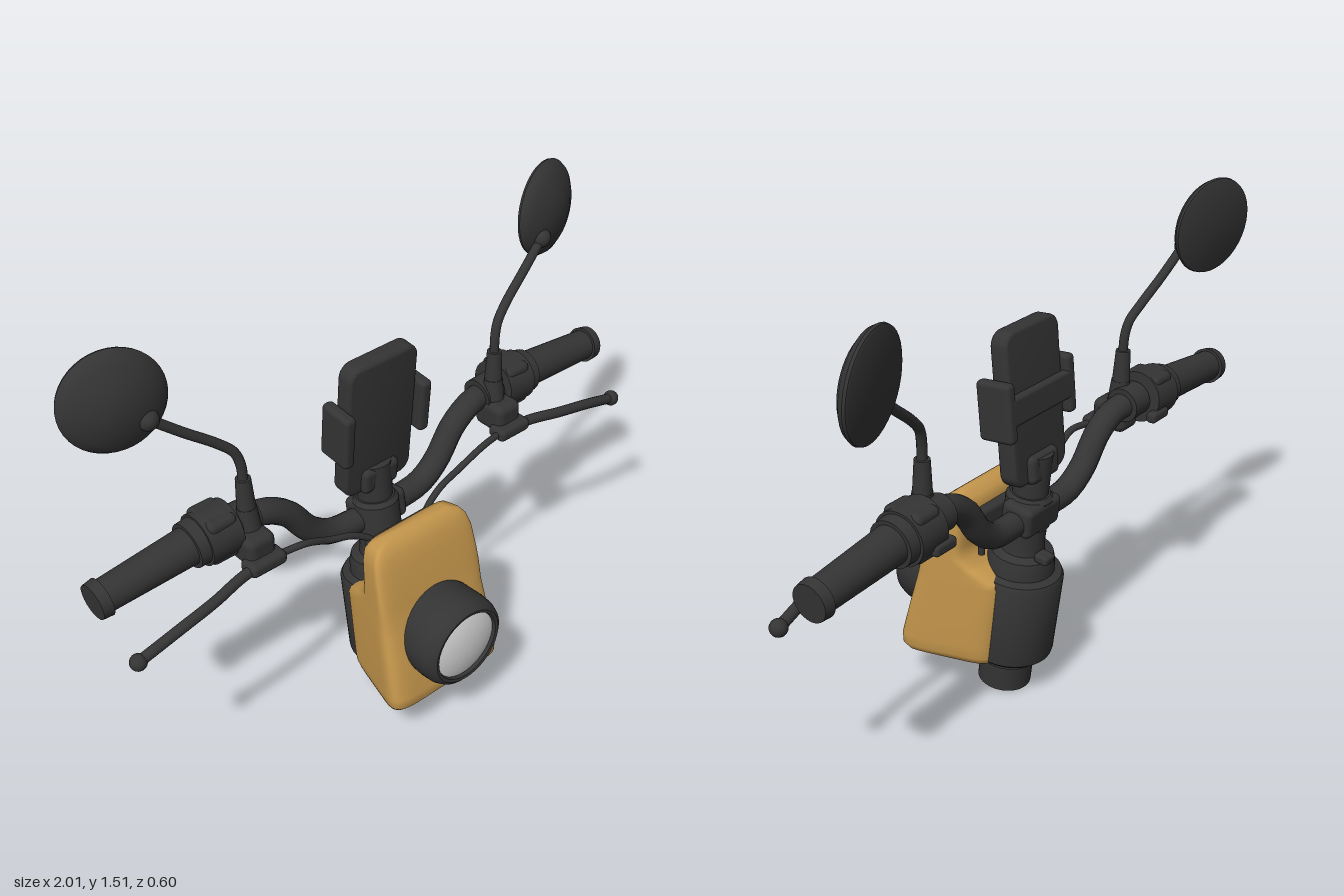
import * as THREE from 'three';
import { toCreasedNormals } from 'three/addons/utils/BufferGeometryUtils.js';
import { RoundedBoxGeometry } from 'three/addons/geometries/RoundedBoxGeometry.js';

const mat = (name, color) => Object.assign(new THREE.MeshStandardMaterial({ color }), { name });
const V = (x, y, z) => new THREE.Vector3(x, y, z);
const UP = V(0, 1, 0);

export function createModel() {
  const black = mat('satin black', 0x343434);
  const ochre = mat('ochre paint', 0xc4964c);
  const glass = mat('pale lens', 0xd8d8d8);
  const root = new THREE.Group();
  root.name = 'handlebarAssembly';

  const add = (name, geo, m = black, parent = root) => {
    const mesh = new THREE.Mesh(geo, m);
    mesh.name = name;
    parent.add(mesh);
    return mesh;
  };
  const lathe = (pts, seg = 40) =>
    toCreasedNormals(new THREE.LatheGeometry(pts.map(p => new THREE.Vector2(...p)), seg), 0.6);
  // Straight rod between two points
  const rod = (name, a, b, r1, r2, parent) => {
    const mesh = add(name, new THREE.CylinderGeometry(r2, r1, a.distanceTo(b), 28), black, parent);
    mesh.position.copy(a).lerp(b, 0.5);
    mesh.quaternion.setFromUnitVectors(UP, b.clone().sub(a).normalize());
    return mesh;
  };
  const tube = (name, pts, r, parent, m = black) =>
    add(name, new THREE.TubeGeometry(new THREE.CatmullRomCurve3(pts), 48, r, 14), m, parent);
  const box = (name, size, pos, r, parent) => {
    const mesh = add(name, new RoundedBoxGeometry(...size, 3, r), black, parent);
    mesh.position.set(...pos);
    return mesh;
  };
  const ball = (name, r, pos, parent) => {
    const mesh = add(name, new THREE.SphereGeometry(r, 20, 14), black, parent);
    mesh.position.set(...pos);
    return mesh;
  };

  // Headlight cowl: rounded trapezoid sections [y, frontZ, backZ, frontHalfWidth, backHalfWidth]
  const sections = [
    [0.13, 0.17, -0.08, 0.20, 0.13], [0.137, 0.20, -0.095, 0.223, 0.145],
    [0.155, 0.214, -0.10, 0.234, 0.15], [0.19, 0.213, -0.103, 0.237, 0.152],
    [0.30, 0.185, -0.117, 0.23, 0.15], [0.41, 0.155, -0.13, 0.222, 0.148],
    [0.43, 0.15, -0.12, 0.22, 0.15], [0.465, 0.14, -0.06, 0.217, 0.165],
    [0.495, 0.132, -0.012, 0.213, 0.178], [0.54, 0.122, -0.01, 0.21, 0.178],
    [0.62, 0.10, -0.018, 0.204, 0.172], [0.66, 0.085, -0.018, 0.192, 0.165],
    [0.685, 0.07, -0.005, 0.172, 0.15], [0.70, 0.05, 0.02, 0.13, 0.12],
  ];
  const N = 64, pos = [], idx = [];
  const power = t => Math.sign(t) * Math.abs(t) ** 0.3;
  for (const [y, zf, zb, wf, wb] of sections) {
    for (let i = 0; i < N; i++) {
      const a = (i / N) * Math.PI * 2, u = power(Math.cos(a)), v = power(Math.sin(a));
      pos.push(u * (wb + (wf - wb) * (v + 1) / 2), y, (zf + zb) / 2 + v * (zf - zb) / 2);
    }
  }
  const last = sections.length - 1;
  for (let j = 0; j < last; j++) {
    for (let i = 0; i < N; i++) {
      const a = j * N + i, b = j * N + (i + 1) % N;
      idx.push(a, a + N, b, b, a + N, b + N);
    }
  }
  pos.push(0, 0.13, 0.05, 0, 0.702, 0.035);
  for (let i = 0; i < N; i++) {
    const k = (i + 1) % N;
    idx.push((last + 1) * N, i, k, (last + 1) * N + 1, last * N + k, last * N + i);
  }
  const cowlGeo = new THREE.BufferGeometry();
  cowlGeo.setAttribute('position', new THREE.Float32BufferAttribute(pos, 3));
  cowlGeo.setIndex(idx);
  cowlGeo.computeVertexNormals();
  add('headlightCowl', cowlGeo, ochre).position.x = -0.011;
  box('cowlBracket', [0.26, 0.1, 0.05], [-0.011, 0.6, -0.025], 0.015);

  // Headlight
  const lamp = new THREE.Group();
  lamp.name = 'headlight';
  lamp.position.set(-0.012, 0.357, 0.185);
  lamp.rotation.x = Math.PI / 2;
  root.add(lamp);
  add('headlightShell', lathe([[0, -0.1], [0.14, -0.1], [0.152, -0.04], [0.155, 0.03], [0.152, 0.07],
    [0.143, 0.092], [0.13, 0.102], [0.12, 0.1], [0.116, 0.085], [0, 0.085]], 48), black, lamp);
  add('headlightLens', lathe([[0.118, 0.088], [0.09, 0.097], [0.05, 0.104], [0, 0.107]], 48), glass, lamp);

  // Raked steering column and rear housing
  const column = new THREE.Group();
  column.name = 'steeringColumn';
  column.position.set(-0.014, 0, -0.045);
  column.rotation.x = -0.135;
  root.add(column);
  add('steeringStem', lathe([[0, 0.012], [0.085, 0.012], [0.085, 0.1], [0.095, 0.105], [0.095, 0.15]]), black, column);
  add('rearHousing', lathe([[0, 0.135], [0.125, 0.135], [0.138, 0.148], [0.14, 0.16], [0.14, 0.425], [0.132, 0.44],
    [0.108, 0.448], [0.104, 0.485], [0.098, 0.505], [0.07, 0.515], [0.066, 0.54], [0.066, 0.6],
    [0.073, 0.605], [0.073, 0.7], [0.062, 0.715], [0, 0.715]]), black, column);
  box('keySwitch', [0.05, 0.03, 0.05], [0.02, 0.525, -0.095], 0.01, column);
  box('barClamp', [0.17, 0.1, 0.11], [0.014, 0.655, -0.02], 0.02, column);

  // Phone and its clamp
  rod('phoneMountPost', V(-0.013, 0.68, -0.14), V(-0.017, 0.84, -0.15), 0.055, 0.06);
  const phone = new THREE.Group();
  phone.name = 'phoneHolder';
  phone.position.set(-0.018, 1.0, -0.13);
  phone.rotation.x = 0.09;
  root.add(phone);
  const w = 0.12, h = 0.23, r = 0.035, plate = new THREE.Shape();
  plate.absarc(w - r, h - r, r, 0, Math.PI / 2);
  plate.absarc(r - w, h - r, r, Math.PI / 2, Math.PI);
  plate.absarc(r - w, r - h, r, Math.PI, Math.PI * 1.5);
  plate.absarc(w - r, r - h, r, Math.PI * 1.5, Math.PI * 2);
  add('phoneBody', toCreasedNormals(new THREE.ExtrudeGeometry(plate, {
    depth: 0.038, bevelSize: 0.011, bevelThickness: 0.011, bevelSegments: 3, curveSegments: 8,
  }), 0.6), black, phone).position.z = -0.019;
  for (const s of [-1, 1]) box('phoneClip', [0.04, 0.185, 0.12], [s * 0.148, 0.012, 0.005], 0.015, phone);
  box('phoneClampArm', [0.3, 0.09, 0.03], [0, 0.012, -0.04], 0.012, phone);
  box('phoneFoot', [0.14, 0.09, 0.1], [0, -0.2, 0], 0.02, phone);

  // Handlebar, one bent tube
  const half = [[0.7, 0.842, -0.185], [0.5, 0.842, -0.18], [0.41, 0.832, -0.17], [0.335, 0.785, -0.165],
    [0.265, 0.695, -0.16], [0.19, 0.645, -0.155], [0.08, 0.635, -0.15]];
  tube('handlebar', [...half.map(([x, y, z]) => V(-x, y, z)),
    ...half.slice().reverse().map(p => V(...p))], 0.041);

  // Grip, switchgear, lever and mirror on each side
  for (const s of [1, -1]) {
    const side = new THREE.Group();
    side.name = s > 0 ? 'leftControls' : 'rightControls';
    root.add(side);
    const P = (x, y, z) => V(s * x, y, z);
    rod('grip', P(0.66, 0.84, -0.186), P(0.985, 0.813, -0.19), 0.06, 0.05, side);
    rod('gripEnd', P(0.965, 0.814, -0.19), P(0.998, 0.811, -0.19), 0.06, 0.056, side);
    rod('gripFlange', P(0.63, 0.842, -0.186), P(0.68, 0.838, -0.186), 0.075, 0.072, side);
    rod('switchHousing', P(0.535, 0.846, -0.184), P(0.645, 0.84, -0.186), 0.083, 0.083, side);
    box('switchBlock', [0.1, 0.15, 0.13], [s * 0.59, 0.845, -0.185], 0.02, side);
    box('switchButton', [0.09, 0.035, 0.035], [s * 0.545, 0.8, -0.255], 0.012, side);
    rod('barCollar', P(0.455, 0.842, -0.178), P(0.53, 0.845, -0.18), 0.056, 0.056, side);

    // Brake lever with perch
    box('leverPerch', [0.1, 0.1, 0.12], [s * 0.5, 0.79, -0.125], 0.025, side);
    box('leverPivot', [0.13, 0.045, 0.07], [s * 0.5, 0.755, -0.07], 0.018, side);
    tube('brakeLever', [P(0.45, 0.755, -0.065), P(0.58, 0.75, -0.06), P(0.7, 0.735, -0.04),
      P(0.83, 0.71, -0.035), P(0.965, 0.67, -0.042)], 0.017, side);
    ball('leverTip', 0.026, [s * 0.966, 0.67, -0.042], side);
    tube('brakeCable', [P(0.45, 0.755, -0.065), P(0.36, 0.755, -0.05), P(0.27, 0.715, -0.055),
      P(0.17, 0.68, -0.05), P(0.1, 0.62, -0.04), P(0.09, 0.5, -0.035)], 0.011, side);

    // Mirror and stalk
    rod('mirrorBase', P(0.493, 0.84, -0.14), P(0.495, 0.91, -0.145), 0.035, 0.03, side);
    rod('mirrorNut', P(0.495, 0.9, -0.145), P(0.497, 1.01, -0.148), 0.029, 0.023, side);
    tube('mirrorStalk', [P(0.497, 0.99, -0.147), P(0.5, 1.06, -0.15), P(0.515, 1.105, -0.156),
      P(0.56, 1.15, -0.168), P(0.65, 1.22, -0.185), P(0.74, 1.295, -0.2)], 0.015, side);
    ball('mirrorJoint', 0.032, [s * 0.745, 1.298, -0.205], side);
    const mirror = add('mirrorHead', lathe([[0, -0.018], [0.145, -0.022], [0.153, -0.018], [0.155, -0.01],
      [0.145, 0.006], [0.12, 0.022], [0.08, 0.038], [0.04, 0.048], [0, 0.05]], 40), black, side);
    mirror.position.set(s * 0.815, 1.36, -0.25);
    mirror.quaternion.setFromUnitVectors(UP, V(s * 0.25, 0.07, 0.97).normalize());
  }
  return root;
}
